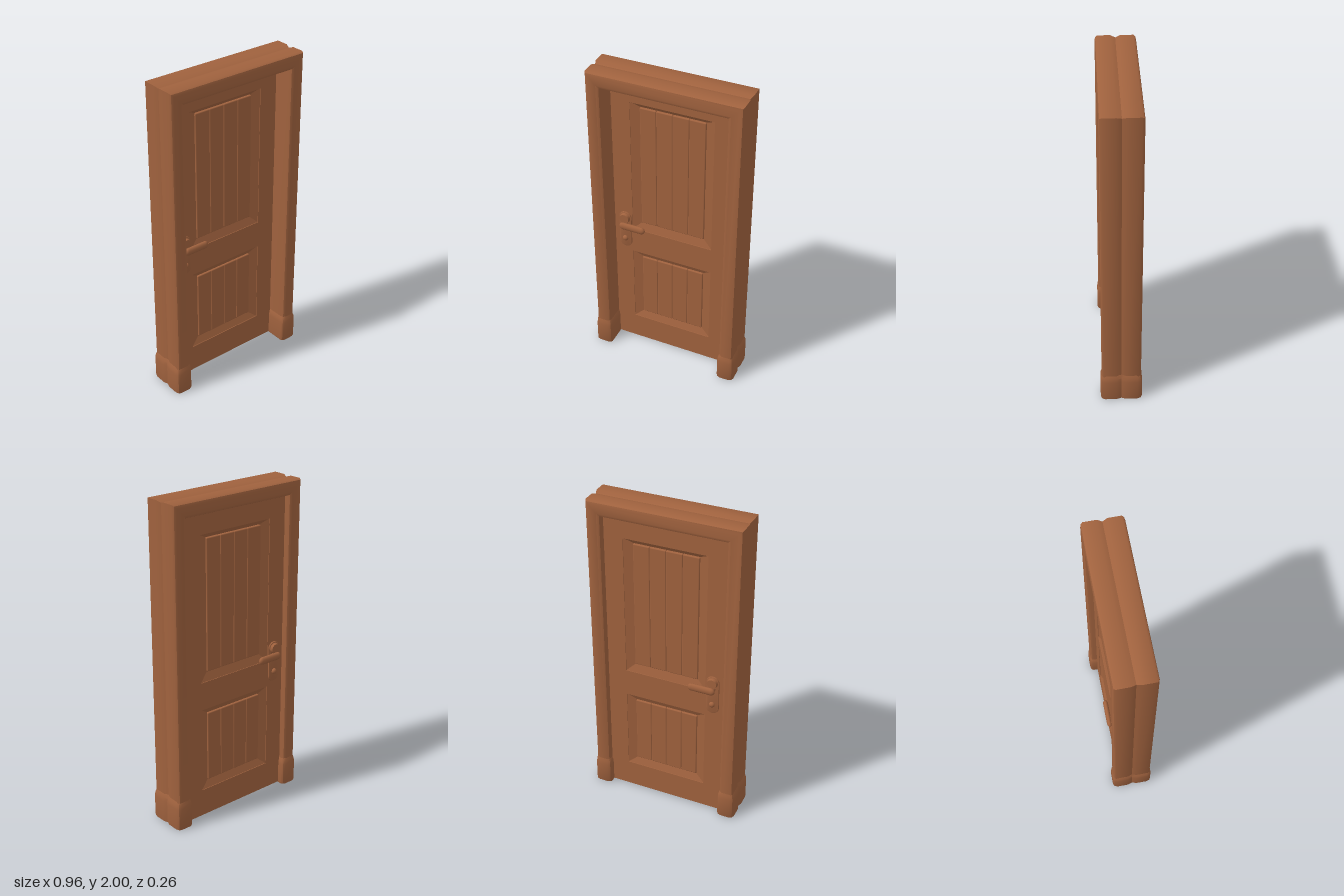
import * as THREE from 'three';
import { toCreasedNormals } from 'three/addons/utils/BufferGeometryUtils.js';
import { RoundedBoxGeometry } from 'three/addons/geometries/RoundedBoxGeometry.js';

const wood = new THREE.MeshStandardMaterial({ color: 0xa0623e, side: THREE.DoubleSide });
wood.name = 'brownWood';

function add(parent, name, geometry, x = 0, y = 0, z = 0) {
  const mesh = new THREE.Mesh(geometry, wood);
  mesh.name = name;
  mesh.position.set(x, y, z);
  parent.add(mesh);
  return mesh;
}

// Skin through a list of closed rings, each a list of [x, y, z]
function loft(rings, crease = 0.6) {
  const pos = [];
  for (let i = 0; i < rings.length - 1; i++) {
    const n = rings[i].length;
    for (let j = 0; j < n; j++) {
      const k = (j + 1) % n;
      const [a, b, c, d] = [rings[i][j], rings[i][k], rings[i + 1][k], rings[i + 1][j]];
      pos.push(...a, ...b, ...c, ...a, ...c, ...d);
    }
  }
  const g = new THREE.BufferGeometry();
  g.setAttribute('position', new THREE.Float32BufferAttribute(pos, 3));
  g.computeVertexNormals();
  return toCreasedNormals(g, crease);
}

// Rectangle ring around (0, cy)
const rect = (hw, y0, y1, z) => [[-hw, y0, z], [hw, y0, z], [hw, y1, z], [-hw, y1, z]];

// Shape outline with rounded ends, standing upright
function pill(r, y0, y1) {
  const s = new THREE.Shape();
  s.absarc(0, y1 - r, r, 0, Math.PI);
  s.absarc(0, y0 + r, r, Math.PI, Math.PI * 2);
  s.closePath();
  return s;
}

const DOOR_Z = -0.045, HALF = 0.035;

export function createModel() {
  const model = new THREE.Group();
  model.name = 'door';

  // Casing: rounded section with a groove on the outside, mitred at the corners
  const outer = [[0.07, 0.12], [0.083, 0.116], [0.09, 0.105], [0.09, 0.028], [0.08, 0]];
  const inner = [[0, 0.1], [0.005, 0.113], [0.02, 0.12]];
  const flip = (list) => list.map(([u, z]) => [u, -z]).reverse();
  const section = [...outer, ...flip(outer).slice(1), ...flip(inner), ...inner];
  const corners = [[1, 0, 0], [1, 1.91, 1], [-1, 1.91, 1], [-1, 0, 0]];
  add(model, 'frame', loft(corners.map(([s, y, k]) =>
    section.map(([u, z]) => [s * (0.38 + u), y + k * u, z]))));

  // Plinth blocks, open underneath
  const half = [[0.032, 0.127], [0.048, 0.12], [0.056, 0.1], [0.056, 0.03], [0.046, 0]];
  const innerFoot = [[-0.054, 0.11], [-0.048, 0.12], [-0.032, 0.127]];
  const foot = [...half, ...flip(half).slice(1), ...flip(innerFoot), ...innerFoot];
  const levels = [[0, 0.97, 0.98], [0.008, 1, 1], [0.14, 1, 1], [0.165, 0.95, 0.98], [0.19, 0.78, 0.93]];
  for (const s of [1, -1]) {
    const ring = s > 0 ? foot : [...foot].reverse();
    add(model, s > 0 ? 'leftPlinth' : 'rightPlinth', loft(levels.map(([y, kx, kz]) =>
      ring.map(([u, z]) => [s * (0.425 + u * kx), y, z * kz]))));
  }

  // Leaf: stiles and rails with two openings
  const leaf = new THREE.Group();
  leaf.name = 'leaf';
  leaf.position.z = DOOR_Z;
  model.add(leaf);
  const openings = [
    { y0: 0.18, y1: 0.72, p0: 0.23, p1: 0.68 },
    { y0: 0.895, y1: 1.79, p0: 0.95, p1: 1.76 },
  ];
  const outline = new THREE.Shape(
    [[-0.378, 0.005], [0.378, 0.005], [0.378, 1.909], [-0.378, 1.909]].map((p) => new THREE.Vector2(...p)));
  for (const { y0, y1 } of openings) {
    outline.holes.push(new THREE.Path(
      [[-0.26, y0], [-0.26, y1], [0.26, y1], [0.26, y0]].map((p) => new THREE.Vector2(...p))));
  }
  const leafGeo = new THREE.ExtrudeGeometry(outline, { depth: HALF * 2, bevelEnabled: false });
  leafGeo.translate(0, 0, -HALF);
  add(leaf, 'stilesAndRails', leafGeo);

  // Sloped mouldings and planked panels on both faces
  for (const { y0, y1, p0, p1 } of openings) {
    for (const s of [1, -1]) {
      const rings = [rect(0.26, y0, y1, s * (HALF - 0.004)), rect(0.203, p0 - 0.003, p1 + 0.003, s * 0.014)];
      add(leaf, 'panelMoulding', loft(s > 0 ? rings : rings.reverse(), 0.1));
    }
    for (let i = 0; i < 4; i++) {
      add(leaf, 'panelPlank', new RoundedBoxGeometry(0.1025, p1 - p0, 0.046, 2, 0.006),
        -0.1525 + i * 0.1017, (p0 + p1) / 2, 0);
    }
  }

  // Handle sets, one on each face
  for (const s of [1, -1]) {
    const handle = new THREE.Group();
    handle.name = s > 0 ? 'frontHandle' : 'backHandle';
    handle.position.set(-0.307, 0, s * HALF);
    leaf.add(handle);

    const plate = new THREE.ExtrudeGeometry(pill(0.036, 0.755, 1.005), {
      depth: 0.006, bevelEnabled: true, bevelSize: 0.005, bevelThickness: 0.005, bevelSegments: 2, curveSegments: 10,
    });
    plate.translate(0, 0, -0.003);
    add(handle, 'plate', toCreasedNormals(plate, 0.7));

    const rose = add(handle, 'rose', new THREE.CylinderGeometry(0.03, 0.035, 0.022, 20), 0, 0.968, s * 0.014);
    rose.rotation.x = s * Math.PI / 2;
    const spindle = add(handle, 'spindle', new THREE.CylinderGeometry(0.017, 0.02, 0.04, 16), 0, 0.925, s * 0.018);
    spindle.rotation.x = s * Math.PI / 2;

    const lever = add(handle, 'lever', new THREE.CapsuleGeometry(0.024, 0.122, 6, 16), 0.06, 0.925, s * 0.036);
    lever.rotation.z = Math.PI / 2;
    lever.scale.z = 0.62;

    const knob = add(handle, 'keyTurn', new THREE.SphereGeometry(0.018, 14, 10), 0, 0.815, s * 0.01);
    knob.scale.z = 0.8;
  }
  return model;
}
